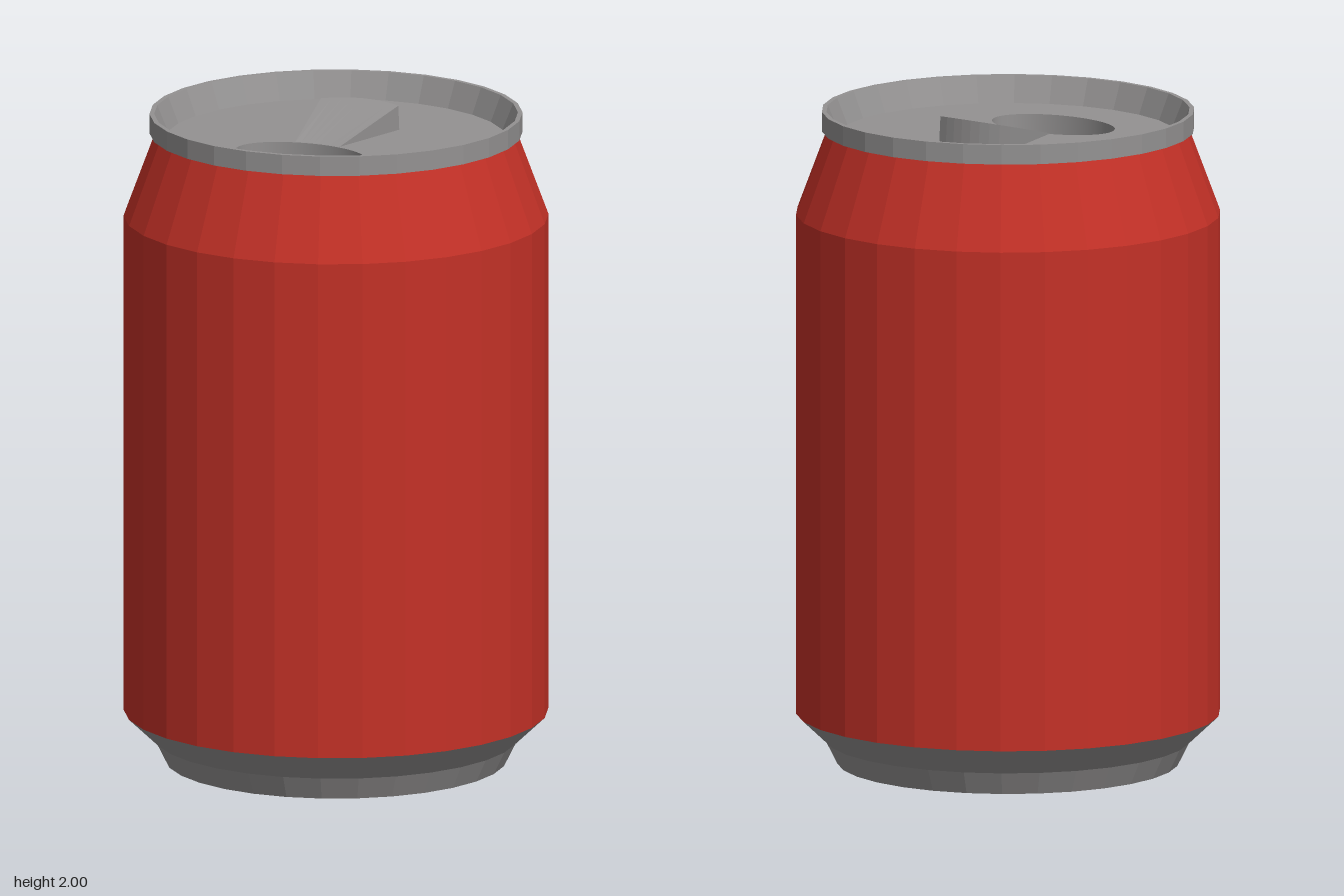
import * as THREE from 'three';
import { toCreasedNormals } from 'three/addons/utils/BufferGeometryUtils.js';

const SIDES = 30;
const LID_Y = 1.92;

export function createModel() {
  const red = new THREE.MeshStandardMaterial({ color: 0xc43127 });
  const metal = new THREE.MeshStandardMaterial({ color: 0x949292 });
  const can = new THREE.Group();
  can.name = 'drinkCan';

  const add = (name, geometry, material) => {
    const mesh = new THREE.Mesh(geometry, material);
    mesh.name = name;
    can.add(mesh);
    return mesh;
  };

  // Faceted ring turned from [radius, height] pairs
  const turned = (points) => {
    const g = new THREE.LatheGeometry(points.map(([r, y]) => new THREE.Vector2(r, y)), SIDES).toNonIndexed();
    g.computeVertexNormals();
    return g;
  };

  // Base with recessed underside
  add('base', turned([[0, 0.06], [0.463, 0.06], [0.515, 0], [0.55, 0.07], [0.64, 0.155]]), metal);

  // Painted wall and shoulder
  add('body', turned([[0.64, 0.155], [0.64, 1.685], [0.545, 1.94]]), red);

  // Rim, sloping inside down to the lid
  add('rim', turned([[0.54, 1.94], [0.562, 1.94], [0.562, 2], [0.548, 2], [0.515, LID_Y]]), metal);

  // Lid with an oval opening
  const lidShape = new THREE.Shape();
  for (let i = 0; i < SIDES; i++) {
    const a = (i / SIDES) * Math.PI * 2 + Math.PI / 2;
    lidShape[i ? 'lineTo' : 'moveTo'](0.515 * Math.cos(a), 0.515 * Math.sin(a));
  }
  lidShape.closePath();
  const hole = new THREE.Path();
  hole.absellipse(0, -0.222, 0.21, 0.135, 0, Math.PI * 2, true);
  lidShape.holes.push(hole);
  const lid = add('lid', new THREE.ShapeGeometry(lidShape, 24).rotateX(-Math.PI / 2), metal);
  lid.position.y = LID_Y;

  // Well below the opening
  const wellProfile = [[1, 0], [1, -0.3], [0, -0.3]].map(([r, y]) => new THREE.Vector2(r, y));
  const wellGeo = new THREE.LatheGeometry(wellProfile, 48).scale(0.21, 1, 0.135);
  const well = add('openingWell', toCreasedNormals(wellGeo, 0.6), metal);
  well.position.set(0, LID_Y, 0.222);

  // Wedge-shaped pull tab with curved ends
  const n = 8;
  const sections = [];
  for (let i = 0; i <= n; i++) {
    const t = i / n;
    const xTip = THREE.MathUtils.lerp(-0.085, 0.063, t);
    const xBack = THREE.MathUtils.lerp(-0.148, 0.11, t);
    const zBack = -0.207 + 1.45 * xBack * xBack;
    sections.push({
      tip: [xTip, LID_Y + 0.002, 0.087 + 1.7 * xTip * xTip],
      top: [xBack, LID_Y + 0.002 + (0.09 - zBack) * 0.263, zBack],
      foot: [xBack, LID_Y, zBack - 0.006],
    });
  }
  const pos = [];
  const tri = (a, b, c) => pos.push(...a, ...b, ...c);
  const quad = (a, b, c, d) => { tri(a, b, c); tri(a, c, d); };
  for (let i = 0; i < n; i++) {
    const p = sections[i], q = sections[i + 1];
    quad(p.tip, q.tip, q.top, p.top);
    quad(p.top, q.top, q.foot, p.foot);
  }
  const first = sections[0], last = sections[n];
  tri(first.tip, first.top, first.foot);
  tri(last.tip, last.foot, last.top);
  const tabGeo = new THREE.BufferGeometry();
  tabGeo.setAttribute('position', new THREE.Float32BufferAttribute(pos, 3));
  tabGeo.computeVertexNormals();
  add('pullTab', tabGeo, metal);

  return can;
}
